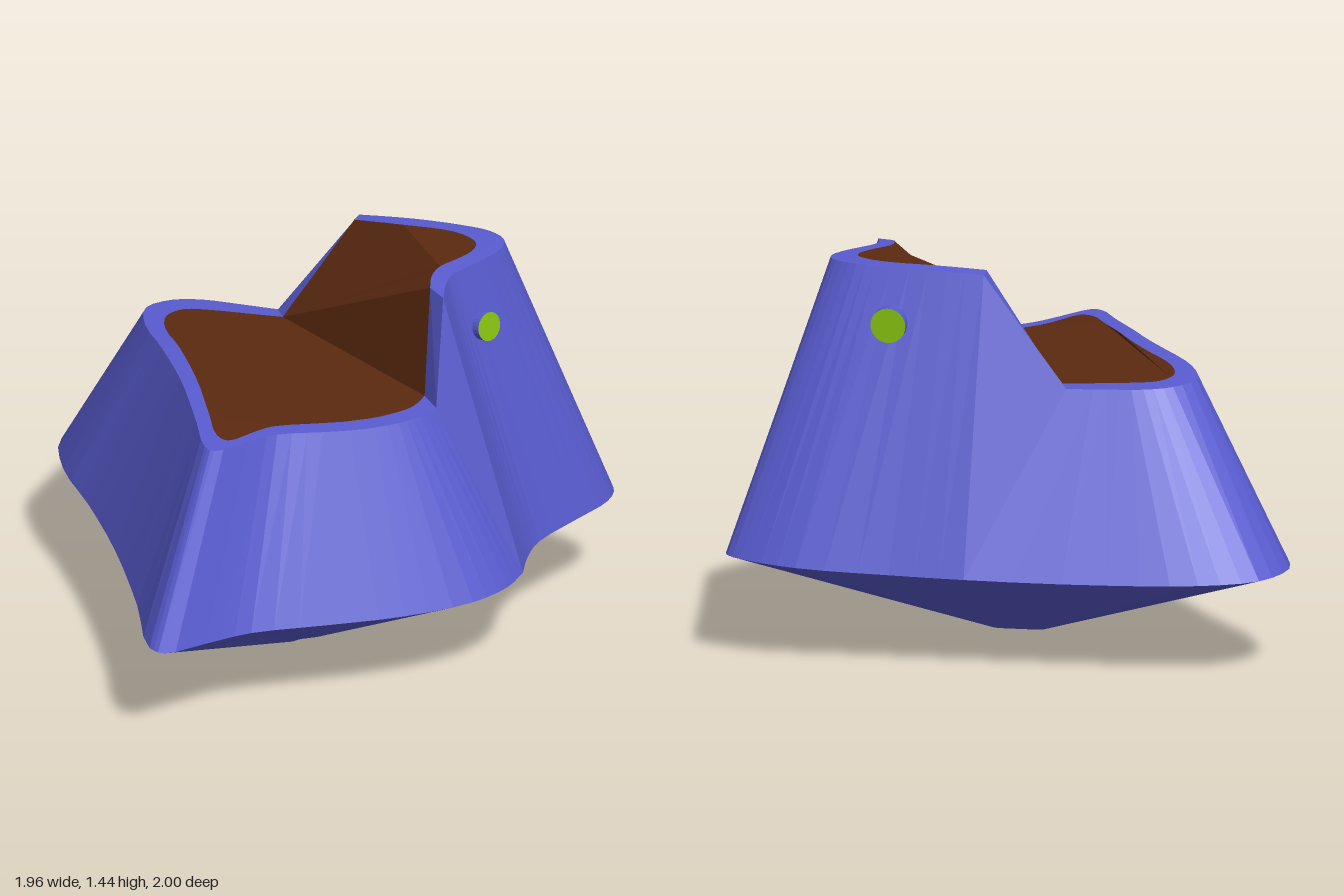
import * as THREE from 'three';

const blue = new THREE.MeshStandardMaterial({ color: 0x595cd0, flatShading: true, side: THREE.DoubleSide });
const brown = new THREE.MeshStandardMaterial({ color: 0x5c2a10, flatShading: true, side: THREE.DoubleSide });
const green = new THREE.MeshStandardMaterial({ color: 0x88c410 });

// Control points (x, z) of the low stretch, from the front step round to the back step
const lowWide = [.5, .58, .42, .68, .27, .77, 0, .825, -.3, .84, -.58, .86, -.77, .93, -.94, .995, -.98, .94,
  -.94, .58, -.91, .1, -.915, -.3, -.935, -.62, -.88, -.88, -.72, -1, -.5, -.96, -.2, -.81, .26, -.55];
const lowOuter = [.2, .48, .13, .53, .04, .565, -.1, .585, -.25, .59, -.42, .59, -.54, .635, -.68, .69, -.705, .65,
  -.69, .45, -.67, .1, -.675, -.15, -.685, -.38, -.64, -.55, -.53, -.605, -.42, -.59, -.3, -.53, -.17, -.46];
const lowInner = [.18, .38, .12, .45, .03, .49, -.1, .515, -.25, .52, -.42, .525, -.5, .56, -.61, .615, -.64, .57,
  -.63, .4, -.61, .1, -.61, -.15, -.62, -.34, -.585, -.46, -.51, -.51, -.42, -.49, -.3, -.44, -.17, -.385];
// Control points of the raised stretch, from the back step round to the front step
const highWide = [.26, -.55, .5, -.41, .8, -.24, .93, -.1, .975, 0, .93, .1, .8, .2, .62, .34, .55, .45, .5, .58];
const highOuter = [.1, -.32, .28, -.22, .44, -.11, .52, -.04, .555, .04, .53, .11, .45, .18, .32, .26, .28, .31, .24, .42];
const highInner = [.07, -.27, .23, -.17, .36, -.09, .42, -.03, .45, .05, .42, .11, .35, .16, .28, .2, .235, .26, .21, .34];

const SUB = 3; // segments between control points

const wideY = (x) => 0.345 + 0.035 * x * x;
const lowY = (x, z) => 1.017 + 0.05 * Math.max(0, -x - 0.1) - 0.05 * Math.max(0, Math.abs(z) - 0.2);
const highY = (x, z) => 1.443 - 0.03 * Math.min(1, (z / 0.4) ** 2);

// Smooth curve through the control points, lifted by a height rule
function stretch(flat, height) {
  const pts = [];
  for (let i = 0; i < flat.length; i += 2) pts.push(new THREE.Vector3(flat[i], 0, flat[i + 1]));
  const curve = new THREE.CatmullRomCurve3(pts, false, 'centripetal');
  return curve.getPoints((pts.length - 1) * SUB).map((p) => p.setY(height(p.x, p.z)));
}

function meshFrom(name, triangles, material) {
  const geometry = new THREE.BufferGeometry().setFromPoints(triangles);
  geometry.computeVertexNormals();
  const mesh = new THREE.Mesh(geometry, material);
  mesh.name = name;
  return mesh;
}

// Skin between two closed loops of equal length
function loft(name, lower, upper) {
  const tris = [];
  lower.forEach((a, i) => {
    const j = (i + 1) % lower.length;
    const b = lower[j], c = upper[i], d = upper[j];
    if (a.distanceTo(b) > 1e-6) tris.push(b, a, c);
    tris.push(b, c, d);
  });
  return meshFrom(name, tris, blue);
}

// Filled outline, facing up or down
function cap(name, loop, up) {
  const faces = THREE.ShapeUtils.triangulateShape(loop.map((p) => new THREE.Vector2(p.x, p.z)), []);
  const tris = [];
  for (const f of faces) {
    let [a, b, c] = f.map((i) => loop[i]);
    const ny = (b.z - a.z) * (c.x - a.x) - (b.x - a.x) * (c.z - a.z);
    if (ny > 0 !== up) [b, c] = [c, b];
    tris.push(a, b, c);
  }
  return meshFrom(name, tris, brown);
}

// Short blue stalk with a green disc on its end
function eye(name, position, direction, radius) {
  const group = new THREE.Group();
  group.name = name;
  const stalk = new THREE.Mesh(new THREE.CylinderGeometry(radius, radius, 0.05, 24), blue);
  stalk.name = name + 'Stalk';
  stalk.position.y = -0.025;
  const disc = new THREE.Mesh(new THREE.CircleGeometry(radius, 24).rotateX(-Math.PI / 2), green);
  disc.name = name + 'Disc';
  disc.position.y = 0.002;
  group.add(stalk, disc);
  group.position.set(...position);
  group.quaternion.setFromUnitVectors(new THREE.Vector3(0, 1, 0), new THREE.Vector3(...direction).normalize());
  return group;
}

export function createModel() {
  const model = new THREE.Group();
  model.name = 'planter';

  const wide = [...stretch(lowWide, wideY), ...stretch(highWide, wideY)];
  const outer = [...stretch(lowOuter, lowY), ...stretch(highOuter, highY)];
  const low = stretch(lowInner, lowY);
  const high = stretch(highInner, highY);
  const base = wide.map((p) => new THREE.Vector3(p.x * 0.095 - 0.19, 0, p.z * 0.1 + 0.13));

  // Shell: tapered underside, sloping wall, flat rim with its two steps
  model.add(loft('underside', base, wide));
  model.add(loft('wall', wide, outer));
  model.add(loft('rim', outer, [...low, ...high]));

  // Base patch, skipping the doubled corners of the loop
  const baseLoop = base.filter((p, i) => p.distanceTo(base[(i + 1) % base.length]) > 1e-6);
  model.add(cap('basePatch', baseLoop, false));

  // Filling: low bed, raised bed and the slope that joins them
  const q = SUB, r = SUB * 7;
  model.add(cap('lowBed', low, true));
  model.add(cap('raisedBed', high.slice(q, r + 1), true));
  const start = low[low.length - 1];
  const edge = [low[0], ...high.slice(r).reverse(), ...high.slice(0, q + 1).reverse()];
  const slope = [];
  for (let i = 0; i < edge.length - 1; i++) slope.push(start, edge[i], edge[i + 1]);
  model.add(meshFrom('bedSlope', slope, brown));

  model.add(eye('frontEye', [0.445, 1.21, 0.275], [0.5, 0.15, 0.85], 0.054));
  model.add(eye('backEye', [0.435, 1.24, -0.225], [0.52, -0.05, -0.85], 0.065));
  return model;
}
